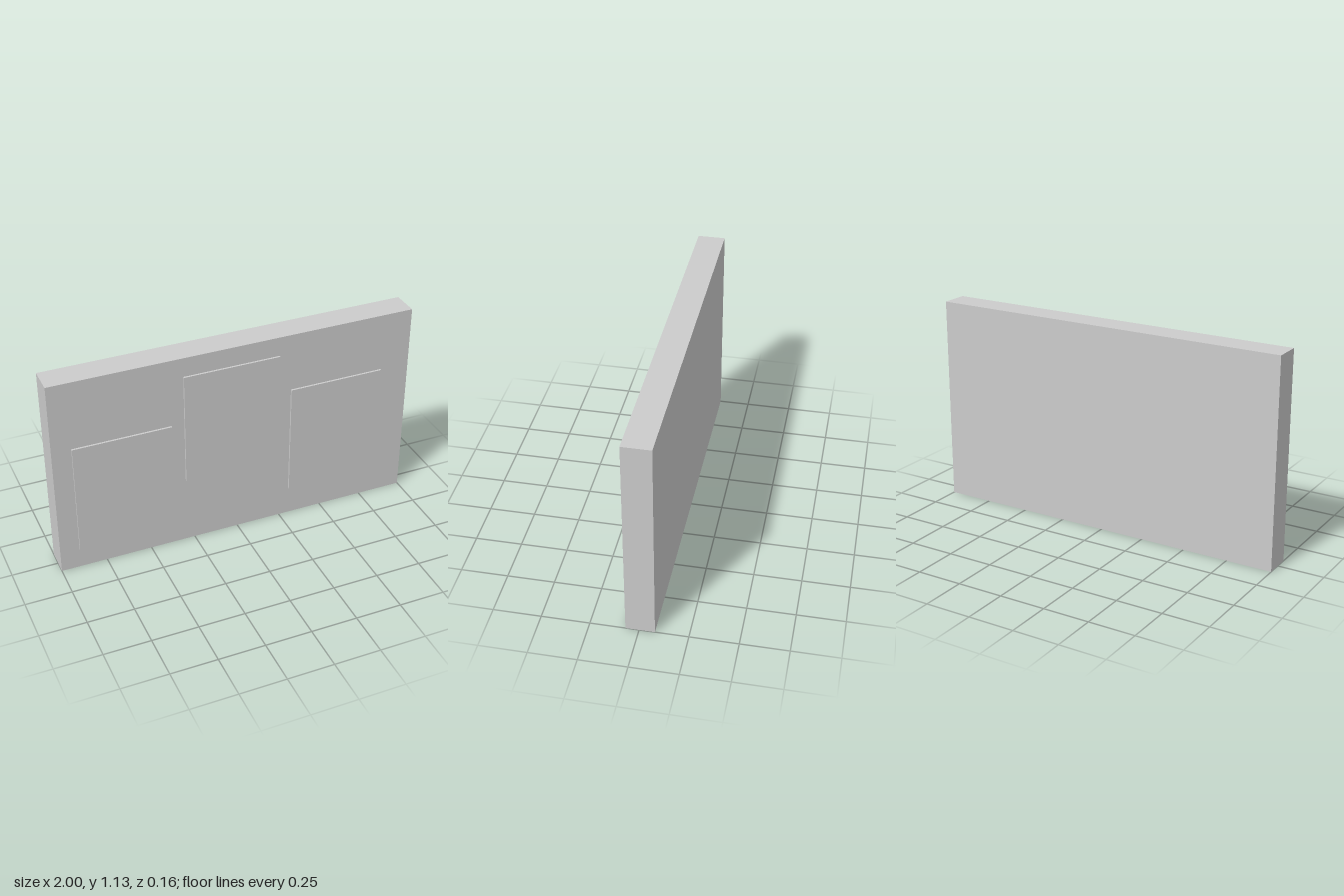
import * as THREE from 'three';

export function createModel() {
  const group = new THREE.Group();
  const material = new THREE.MeshStandardMaterial({ color: 0xcccccc });

  // Adds a box given its centre x, bottom y and back/front z
  function addBox(name, width, height, x, bottom, back, front) {
    const mesh = new THREE.Mesh(new THREE.BoxGeometry(width, height, front - back), material);
    mesh.name = name;
    mesh.position.set(x, bottom + height / 2, (back + front) / 2);
    group.add(mesh);
  }

  const boardFront = 0.069;
  const panelFront = 0.08;

  // Thick backing board
  addBox('board', 2, 1.128, 0, 0, -0.08, boardFront);

  // Three thin raised panels, staggered in height
  const panels = [
    ['rightPanel', -0.631, 0.112],
    ['middlePanel', -0.03, 0.387],
    ['leftPanel', 0.569, 0.167],
  ];
  for (const [name, x, bottom] of panels) {
    addBox(name, 0.53, 0.634, x, bottom, boardFront, panelFront);
  }

  return group;
}
